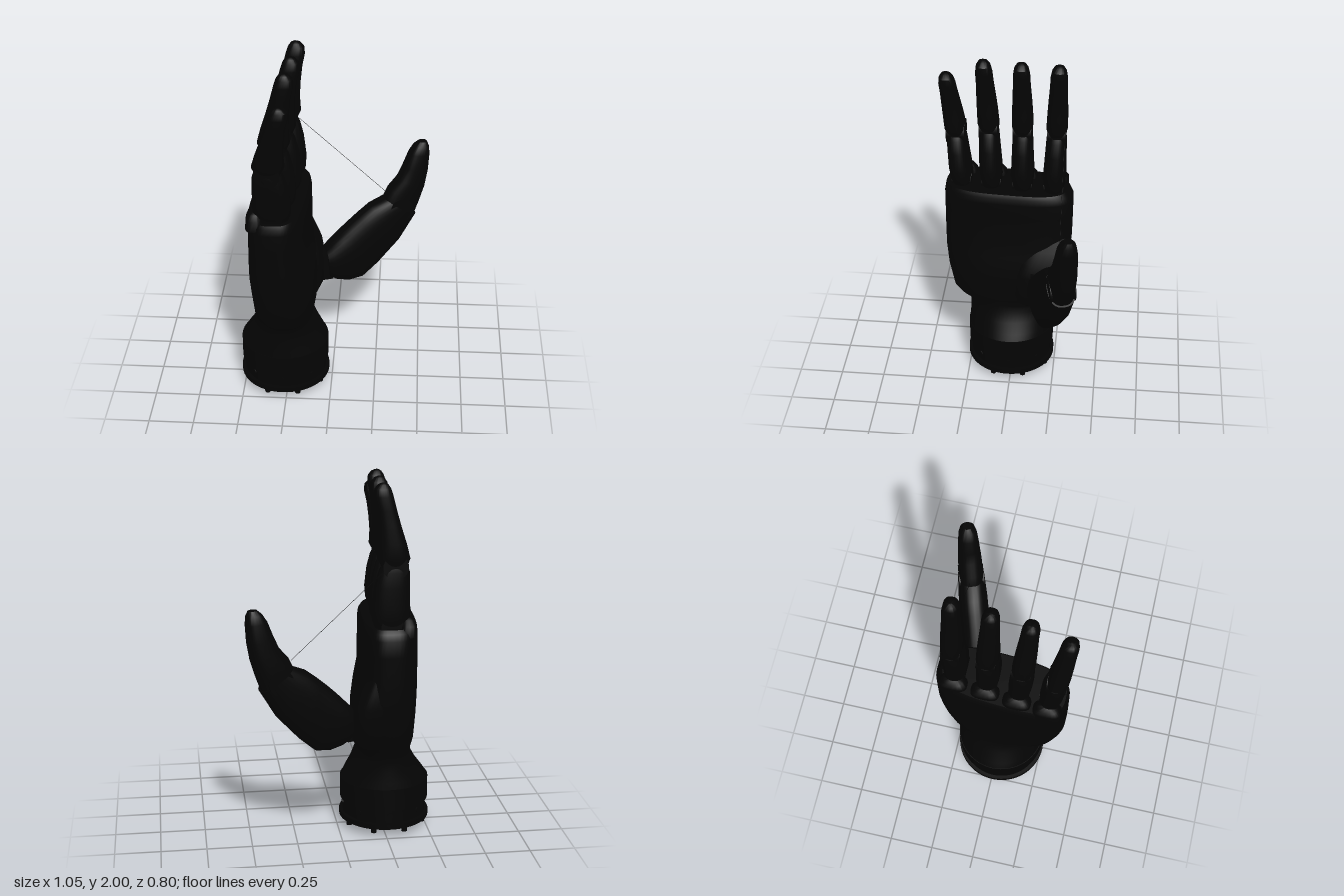
import * as THREE from 'three';
import { toCreasedNormals } from 'three/addons/utils/BufferGeometryUtils.js';

const V = (x, y, z) => new THREE.Vector3(x, y, z);
const black = new THREE.MeshStandardMaterial({ color: 0x040404 });

function add(parent, name, geometry, x = 0, y = 0, z = 0) {
  const mesh = new THREE.Mesh(geometry, black);
  mesh.name = name;
  mesh.position.set(x, y, z);
  parent.add(mesh);
  return mesh;
}

// Closed skin through superellipse rings { c, u, v, e }, u x v pointing along the loft
function loft(rings, crease = 0.6, sides = 32) {
  const pos = [], index = [];
  const curve = (t, e) => Math.sign(t) * Math.abs(t) ** (2 / e);
  for (const { c, u, v, e } of rings) {
    for (let j = 0; j < sides; j++) {
      const a = (j / sides) * Math.PI * 2;
      const p = c.clone().addScaledVector(u, curve(Math.cos(a), e)).addScaledVector(v, curve(Math.sin(a), e));
      pos.push(p.x, p.y, p.z);
    }
  }
  for (let i = 0; i < rings.length - 1; i++) {
    for (let j = 0; j < sides; j++) {
      const k = (j + 1) % sides, a = i * sides, b = a + sides;
      index.push(a + j, a + k, b + k, a + j, b + k, b + j);
    }
  }
  const last = (rings.length - 1) * sides, n = rings.length * sides;
  pos.push(...rings[0].c.toArray(), ...rings[rings.length - 1].c.toArray());
  for (let j = 0; j < sides; j++) {
    const k = (j + 1) % sides;
    index.push(n, k, j, n + 1, last + j, last + k);
  }
  const g = new THREE.BufferGeometry();
  g.setAttribute('position', new THREE.Float32BufferAttribute(pos, 3));
  g.setIndex(index);
  return toCreasedNormals(g, crease);
}

// Horizontal ring: centre x, y, z, half-sizes along x and z, exponent, skew in x
const level = (x, y, z, rx, rz, e = 2.4, skew = 0) => ({ c: V(x, y, z), u: V(skew, 0, rz), v: V(rx, 0, 0), e });

function wrist(hand) {
  const g = new THREE.Group();
  g.name = 'wristMount';
  g.position.set(-0.27, 0, 0.01);
  hand.add(g);
  const profile = [[0, 0.06], [0.16, 0.06], [0.16, 0.05], [0.253, 0.05], [0.253, 0.08], [0.234, 0.08],
    [0.234, 0.16], [0.248, 0.16], [0.248, 0.285], [0, 0.285]].map(p => new THREE.Vector2(...p));
  add(g, 'mountingRing', toCreasedNormals(new THREE.LatheGeometry(profile, 64), 0.5));
  // Pins and fasteners around the flange
  for (let i = 0; i < 8; i++) {
    const a = (i / 8) * Math.PI * 2 + 0.4;
    const x = Math.cos(a) * 0.225, z = Math.sin(a) * 0.225;
    add(g, 'mountingStud', new THREE.CylinderGeometry(0.016, 0.016, 0.06, 12), x, 0.05, z);
    const screw = add(g, 'sideScrew', new THREE.CylinderGeometry(0.016, 0.016, 0.008, 12),
      Math.cos(i * Math.PI / 4) * 0.235, 0.125, Math.sin(i * Math.PI / 4) * 0.235);
    screw.rotation.set(0, -i * Math.PI / 4, Math.PI / 2);
  }
  add(g, 'locatingPin', new THREE.CylinderGeometry(0.013, 0.013, 0.06, 12), -0.222, 0.03, 0.02);
  add(g, 'connector', new THREE.CylinderGeometry(0.06, 0.06, 0.03, 24), 0, 0.05, 0);
}

function palm(hand) {
  add(hand, 'palm', loft([
    level(-0.27, 0.28, 0.01, 0.248, 0.245, 2),
    level(-0.268, 0.32, 0.01, 0.225, 0.242, 2),
    level(-0.263, 0.38, 0.01, 0.185, 0.237, 2),
    level(-0.26, 0.44, 0.01, 0.155, 0.235, 2.1),
    level(-0.26, 0.48, 0.013, 0.148, 0.248, 2.2),
    level(-0.258, 0.52, 0.025, 0.158, 0.282, 2.4),
    level(-0.258, 0.56, 0.03, 0.168, 0.312, 2.6, -0.01),
    level(-0.26, 0.7, 0.028, 0.174, 0.342, 2.8, -0.015),
    level(-0.27, 0.82, 0.028, 0.168, 0.355, 3, -0.02),
    level(-0.28, 0.92, 0.026, 0.158, 0.36, 3, -0.02),
    level(-0.28, 1.08, 0.025, 0.156, 0.361, 3, -0.02),
    level(-0.28, 1.17, 0.025, 0.156, 0.361, 3, -0.02),
    level(-0.28, 1.205, 0.03, 0.152, 0.35, 3, -0.02),
    level(-0.28, 1.225, 0.035, 0.14, 0.335, 3, -0.02),
  ], 0.7, 64));
  // Raised cover where the thumb is rooted
  add(hand, 'thumbMound', loft([
    level(-0.17, 0.47, -0.11, 0.04, 0.08),
    level(-0.17, 0.53, -0.13, 0.085, 0.125, 2.8),
    level(-0.17, 0.59, -0.15, 0.115, 0.145, 3),
    level(-0.17, 0.72, -0.165, 0.115, 0.15, 3),
    level(-0.17, 0.79, -0.18, 0.1, 0.145, 3),
    level(-0.18, 0.87, -0.2, 0.075, 0.12, 2.8),
    level(-0.19, 0.95, -0.23, 0.045, 0.08),
  ], 0.8, 40));
}

// Stations: x, y, half-depth, half-width
const PROXIMAL = [[-0.265, 1.21, 0.085, 0.048], [-0.26, 1.26, 0.1, 0.06], [-0.258, 1.33, 0.102, 0.063],
  [-0.264, 1.45, 0.094, 0.058], [-0.272, 1.53, 0.082, 0.055], [-0.274, 1.555, 0.072, 0.05]];
const DISTAL = [[-0.272, 1.565, 0.072, 0.05], [-0.27, 1.6, 0.086, 0.058], [-0.262, 1.68, 0.073, 0.056],
  [-0.245, 1.77, 0.061, 0.052], [-0.227, 1.86, 0.053, 0.047], [-0.211, 1.93, 0.051, 0.045],
  [-0.206, 1.97, 0.043, 0.038], [-0.208, 1.991, 0.027, 0.025], [-0.21, 2.0, 0.009, 0.009]];

function finger(hand, name, zBase, zTip, dx, stretch) {
  const g = new THREE.Group();
  g.name = name;
  hand.add(g);
  const Y = y => 1.22 + (y - 1.22) * stretch;
  const Z = y => zBase + (zTip - zBase) * (y - 1.22) / 0.78;
  const rings = list => list.map(([x, y, rx, rz]) => level(x + dx, Y(y), Z(y), rx, rz, 2.5));
  add(g, 'proximalSegment', loft(rings(PROXIMAL)));
  add(g, 'distalSegment', loft(rings(DISTAL)));
  // Hinges at the root and the middle joint
  for (const [x, y, r, w] of [[-0.26, 1.235, 0.06, 0.055], [-0.274, 1.56, 0.068, 0.05]]) {
    add(g, 'knuckle', new THREE.CylinderGeometry(r, r, w * 2, 24), x + dx, Y(y), Z(y)).rotation.x = Math.PI / 2;
  }
  // Rounded cover over the knuckle on the back of the hand
  add(g, 'knuckleCover', loft([
    level(-0.35 + dx, 1.18, zBase, 0.05, 0.08, 3),
    level(-0.35 + dx, 1.24, zBase, 0.046, 0.076, 3),
    level(-0.348 + dx, 1.27, zBase, 0.036, 0.055, 2.6),
    level(-0.345 + dx, 1.282, zBase, 0.018, 0.028),
  ], 0.8, 24));
}

function thumb(hand) {
  const g = new THREE.Group();
  g.name = 'thumb';
  hand.add(g);
  const zAt = x => -0.178 - 0.335 * (x + 0.02);
  const side = V(0.318, 0, 0.948);
  // Stations: upper edge x, y, lower edge x, y, half-width
  const rings = list => list.map(([ax, ay, bx, by, w]) => {
    const a = V(ax, ay, zAt(ax)), b = V(bx, by, zAt(bx));
    return { c: a.clone().add(b).multiplyScalar(0.5), u: a.sub(b).multiplyScalar(0.5), v: side.clone().multiplyScalar(w), e: 2.6 };
  });
  add(g, 'thumbBaseSegment', loft(rings([
    [-0.05, 0.765, -0.035, 0.585, 0.072], [-0.025, 0.795, 0.01, 0.555, 0.08], [0.03, 0.855, 0.08, 0.538, 0.083],
    [0.08, 0.905, 0.155, 0.55, 0.083], [0.14, 0.96, 0.24, 0.63, 0.083], [0.2, 1.01, 0.36, 0.77, 0.081],
    [0.28, 1.045, 0.45, 0.93, 0.074],
  ])));
  add(g, 'thumbTipSegment', loft(rings([
    [0.27, 1.03, 0.43, 0.9, 0.068], [0.3, 1.1, 0.465, 1.0, 0.068], [0.35, 1.16, 0.495, 1.1, 0.064],
    [0.38, 1.23, 0.512, 1.2, 0.058], [0.41, 1.31, 0.518, 1.3, 0.051], [0.435, 1.352, 0.515, 1.345, 0.041],
    [0.46, 1.375, 0.505, 1.372, 0.022],
  ])));
  const joint = add(g, 'thumbJoint', new THREE.CylinderGeometry(0.07, 0.07, 0.14, 24), 0.36, 0.98, zAt(0.36));
  joint.quaternion.setFromUnitVectors(V(0, 1, 0), side);
  // Pivot joining the thumb to the palm
  add(g, 'thumbPivot', new THREE.BoxGeometry(0.13, 0.18, 0.09), -0.08, 0.665, -0.158).rotation.y = 0.32;
}

export function createModel() {
  const hand = new THREE.Group();
  hand.name = 'roboticHand';
  wrist(hand);
  palm(hand);
  finger(hand, 'indexFinger', -0.227, -0.245, 0, 1);
  finger(hand, 'middleFinger', -0.052, -0.044, -0.012, 1);
  finger(hand, 'ringFinger', 0.122, 0.16, -0.028, 1);
  finger(hand, 'littleFinger', 0.288, 0.362, -0.04, 0.885);
  thumb(hand);
  // Thin line strung from the index finger to the thumb
  const path = new THREE.LineCurve3(V(-0.2, 1.53, -0.28), V(0.28, 1.08, -0.29));
  add(hand, 'tendonLine', new THREE.TubeGeometry(path, 1, 0.001, 6));
  return hand;
}
